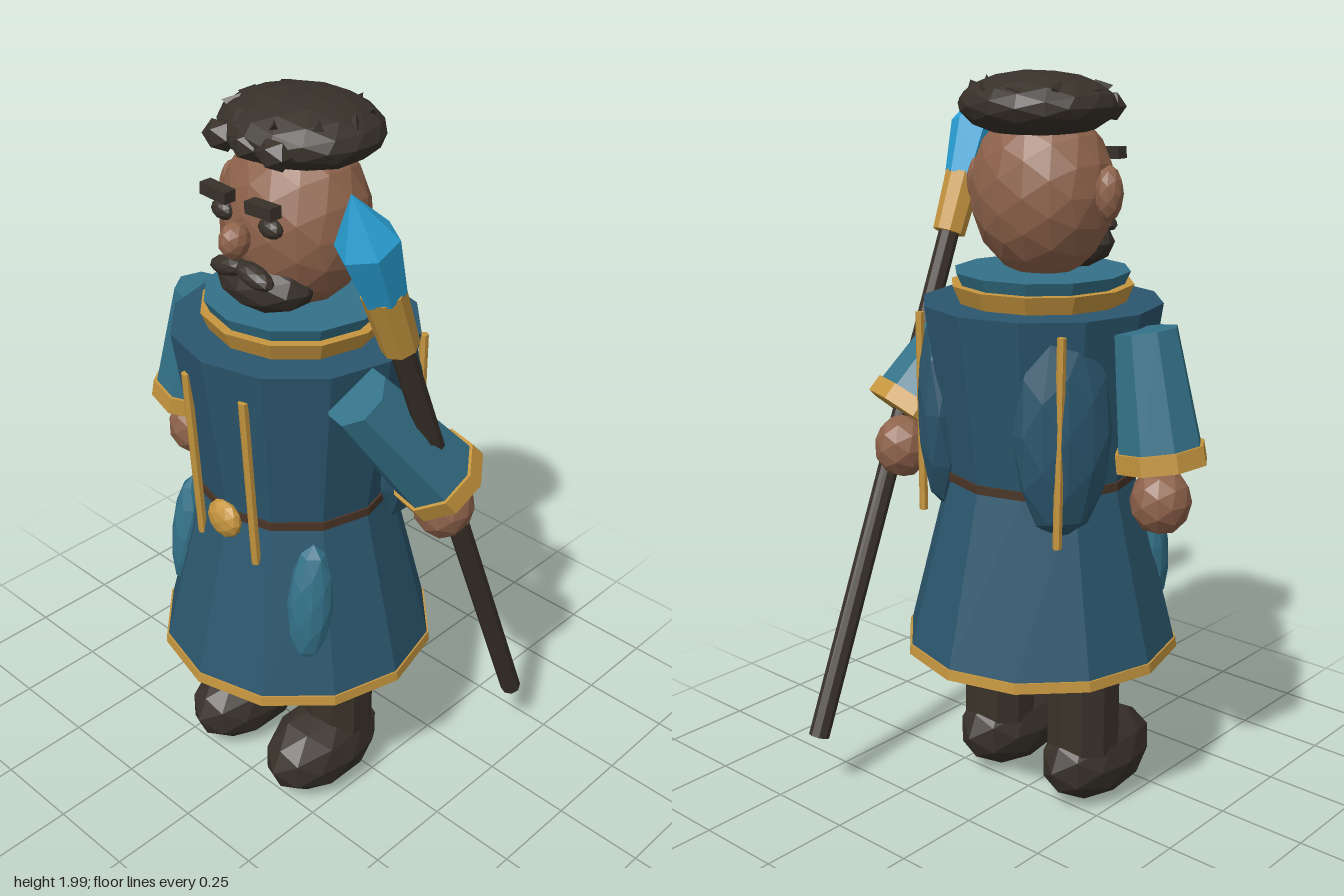
import * as THREE from 'three';

const mat = (name, color) => {
  const m = new THREE.MeshStandardMaterial({ color, flatShading: true });
  m.name = name;
  return m;
};

export function createModel() {
  const robe = mat('robe blue', 0x2b566d);
  const teal = mat('sleeve teal', 0x347289);
  const gold = mat('trim gold', 0xc6963f);
  const skin = mat('skin', 0x8f634b);
  const dark = mat('hair and boots', 0x38312a);
  const wood = mat('staff and trousers', 0x3a322a);
  const belt = mat('belt brown', 0x4a3527);
  const crystal = mat('crystal blue', 0x2ba5dc);

  const model = new THREE.Group();
  model.name = 'robedMage';
  const CZ = 0.055; // body axis
  const UP = new THREE.Vector3(0, 1, 0);

  const add = (name, geo, m, pos = [0, 0, 0], parent = model) => {
    const mesh = new THREE.Mesh(geo, m);
    mesh.name = name;
    mesh.position.set(...pos);
    parent.add(mesh);
    return mesh;
  };
  // faceted ellipsoid
  const blob = (name, m, pos, r, detail = 1, parent = model) => {
    const mesh = add(name, new THREE.IcosahedronGeometry(1, detail), m, pos, parent);
    mesh.scale.set(...r);
    return mesh;
  };
  // upright ring or frustum on the body axis
  const drum = (name, m, y0, y1, r0, r1) =>
    add(name, new THREE.CylinderGeometry(r1, r0, y1 - y0, 12), m, [0, (y0 + y1) / 2, CZ]);
  // tapered rod from a to b
  const rod = (name, m, a, b, ra, rb, sides = 8, parent = model) => {
    const A = new THREE.Vector3(...a), B = new THREE.Vector3(...b);
    const d = B.clone().sub(A);
    const mid = A.clone().add(B).multiplyScalar(0.5);
    const mesh = add(name, new THREE.CylinderGeometry(rb, ra, d.length(), sides), m, mid.toArray(), parent);
    mesh.quaternion.setFromUnitVectors(UP, d.normalize());
    return mesh;
  };

  // robe
  drum('hemTrim', gold, 0.46, 0.488, 0.38, 0.377);
  drum('skirt', robe, 0.485, 0.96, 0.373, 0.253);
  drum('torso', robe, 0.955, 1.42, 0.253, 0.32);
  drum('belt', belt, 0.945, 0.968, 0.261, 0.261);
  drum('collarTrim', gold, 1.418, 1.467, 0.222, 0.243);
  drum('collar', teal, 1.46, 1.5, 0.215, 0.233);
  blob('buckle', gold, [0, 0.94, 0.318], [0.056, 0.054, 0.03]);

  for (const s of [-1, 1]) {
    // legs and boots
    add('leg', new THREE.CylinderGeometry(0.103, 0.103, 0.4, 10), wood, [s * 0.155, 0.38, CZ]);
    blob('boot', dark, [s * 0.155, 0.135, 0.115], [0.121, 0.127, 0.197]);

    // hip pockets lying against the skirt
    const pocket = blob('pocket', teal, [s * 0.236, 0.75, 0.245], [0.06, 0.175, 0.045]);
    pocket.rotation.set(-0.16, s * 0.85, s * 0.06);

    // front piping, back piping and back folds
    rod('frontPiping', gold, [s * 0.102, 0.845, 0.306], [s * 0.102, 1.335, 0.337], 0.013, 0.013, 6);
    rod('backPiping', gold, [s * 0.237, 0.84, -0.162], [s * 0.243, 1.385, -0.156], 0.012, 0.012, 6);
    const fold = blob('backFold', robe, [s * 0.205, 1.13, -0.105], [0.13, 0.29, 0.075]);
    fold.rotation.y = -s * 0.92 + Math.PI;
    fold.rotation.order = 'YXZ';

    // face pairs
    blob('ear', skin, [s * 0.217, 1.71, CZ], [0.036, 0.071, 0.038]);
    blob('eye', dark, [s * 0.08, 1.737, 0.215], [0.036, 0.025, 0.022]);
    const brow = add('eyebrow', new THREE.BoxGeometry(0.086, 0.03, 0.035), dark, [s * 0.076, 1.789, 0.235]);
    brow.rotation.z = s * 0.05;
    const tache = blob('moustache', dark, [s * 0.043, 1.612, 0.235], [0.062, 0.026, 0.03]);
    tache.rotation.z = -s * 0.22;
  }

  // head
  blob('head', skin, [0, 1.7, CZ], [0.2, 0.225, 0.175], 2);
  blob('nose', skin, [0, 1.695, 0.255], [0.036, 0.047, 0.042]);
  blob('beard', dark, [0, 1.565, 0.155], [0.142, 0.075, 0.1]);
  blob('hair', dark, [0, 1.918, 0.035], [0.215, 0.085, 0.187], 2);

  // curls around the hair, larger over the brow
  for (let i = 0; i < 10; i++) {
    const a = (i + 0.5) / 10 * Math.PI * 2;
    const curl = add('curl', new THREE.TetrahedronGeometry(0.03), dark,
      [Math.sin(a) * 0.17, 1.957, 0.035 + Math.cos(a) * 0.145]);
    curl.rotation.set(i, i * 2, 0);
  }
  for (const x of [-0.1, -0.01, 0.08])
    blob('browCurl', dark, [x, 1.91, 0.2], [0.05, 0.04, 0.035], 0);

  // arms: shoulder, wrist and hand centre
  const arms = [
    ['rightArm', [-0.34, 1.385, CZ], [-0.392, 1.065, 0.06], [-0.395, 0.947, 0.06]],
    ['leftArm', [0.315, 1.37, 0.17], [0.392, 1.08, -0.055], [0.392, 0.972, -0.085]],
  ];
  for (const [name, a, b, h] of arms) {
    const arm = new THREE.Group();
    arm.name = name;
    model.add(arm);
    rod('sleeve', teal, a, b, 0.083, 0.113, 8, arm);
    const d = new THREE.Vector3(...b).sub(new THREE.Vector3(...a)).normalize().multiplyScalar(0.025);
    const c = new THREE.Vector3(...b);
    rod('cuff', gold, c.clone().sub(d).toArray(), c.clone().add(d).toArray(), 0.12, 0.122, 8, arm);
    blob('hand', skin, h, [0.079, 0.09, 0.083], 1, arm);
  }

  // staff, built upright and leaned forward
  const staff = new THREE.Group();
  staff.name = 'staff';
  staff.position.set(0.43, 0.18, -0.407);
  staff.rotation.x = 0.39;
  model.add(staff);
  add('shaft', new THREE.CylinderGeometry(0.029, 0.029, 1.56, 8), wood, [0, 0.78, 0], staff);
  add('socket', new THREE.CylinderGeometry(0.052, 0.046, 0.17, 8), gold, [0, 1.557, 0], staff);
  const profile = [[0, 0], [0.054, 0], [0.074, 0.15], [0, 0.285]].map(p => new THREE.Vector2(...p));
  add('crystal', new THREE.LatheGeometry(profile, 6), crystal, [0, 1.635, 0], staff);

  return model;
}
